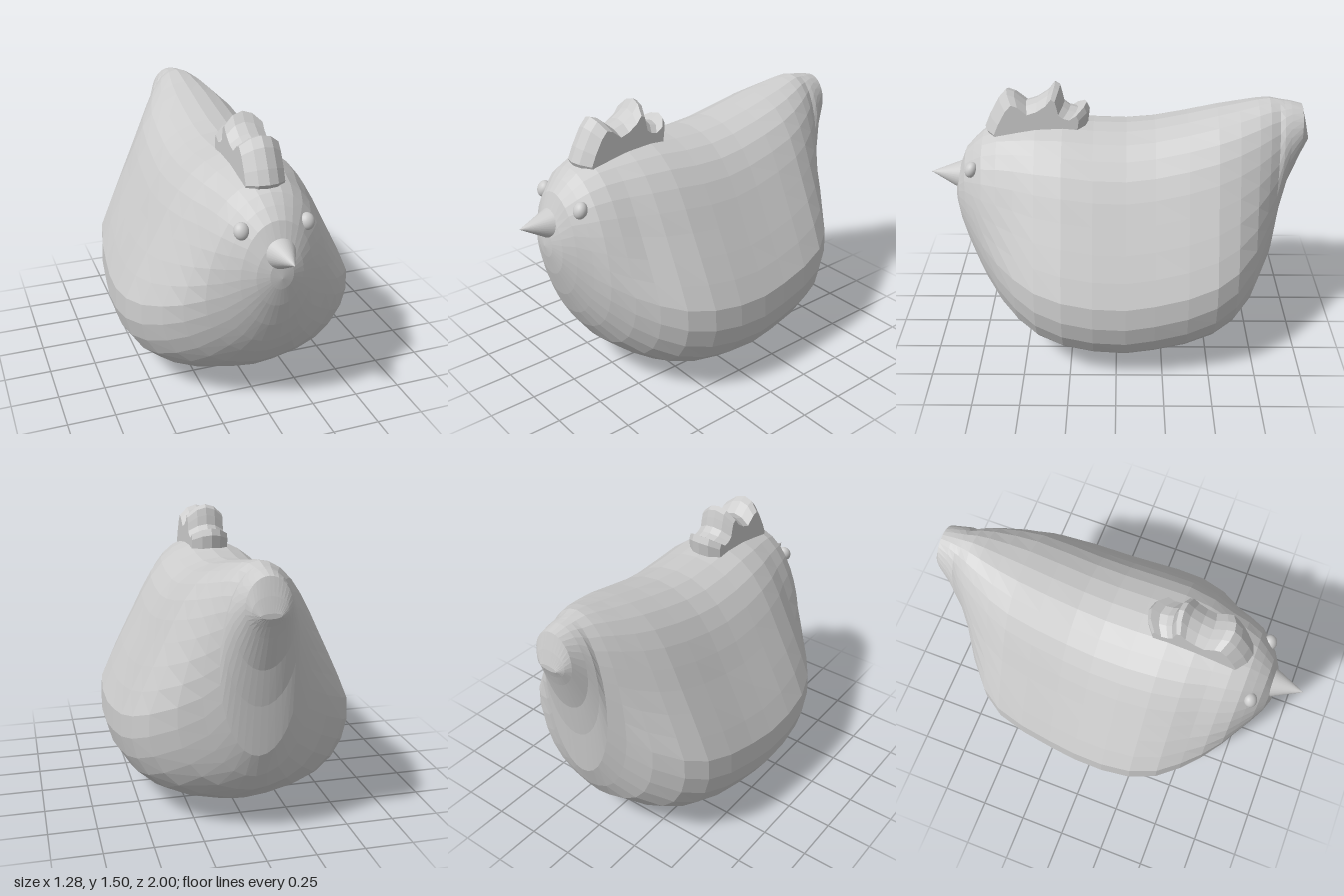
import * as THREE from 'three';

const grey = (flat) => new THREE.MeshStandardMaterial({ color: 0xcccccc, flatShading: flat, roughness: 0.8 });

// Body stations from beak to tail: [z, bottom y, top y, half width]
const STATIONS = [
  [0.87, 0.86, 0.86, 0], [0.862, 0.8, 0.95, 0.06], [0.84, 0.7, 1.03, 0.12], [0.8, 0.57, 1.13, 0.185],
  [0.75, 0.45, 1.185, 0.255], [0.7, 0.36, 1.23, 0.33], [0.62, 0.25, 1.265, 0.42], [0.53, 0.17, 1.28, 0.5],
  [0.42, 0.1, 1.295, 0.58], [0.28, 0.05, 1.3, 0.63], [0.12, 0.02, 1.285, 0.645], [-0.05, 0.005, 1.28, 0.64],
  [-0.2, 0.02, 1.295, 0.625], [-0.37, 0.05, 1.33, 0.605], [-0.52, 0.1, 1.365, 0.57], [-0.63, 0.16, 1.388, 0.5],
  [-0.73, 0.25, 1.41, 0.38], [-0.79, 0.35, 1.418, 0.27], [-0.84, 0.48, 1.41, 0.195], [-0.865, 0.74, 1.405, 0.175],
  [-0.9, 0.93, 1.4, 0.145], [-0.96, 1.1, 1.385, 0.11], [-0.983, 1.16, 1.3, 0.085], [-1, 1.2, 1.225, 0.05], [-1, 1.21, 1.21, 0],
];
// Relative half widths of the pear-shaped section, from belly to back
const PEAR = [0, 0.2, 0.48, 0.7, 0.85, 0.945, 0.99, 0.98, 0.89, 0.79, 0.69, 0.6, 0.51, 0.41, 0.29, 0.15, 0];

function bodyGeometry() {
  const half = PEAR.length - 1, n = half * 2;
  const positions = [], index = [];
  STATIONS.forEach(([z, bottom, top, width], i) => {
    // pear section in the middle, oval towards the face and the tail
    const oval = z > 0 ? THREE.MathUtils.smoothstep(z, 0.5, 0.85) : THREE.MathUtils.smoothstep(-z, 0.68, 0.86);
    for (let j = 0; j < n; j++) {
      const k = j <= half ? j : n - j;
      const angle = (k / half) * Math.PI;
      const w = THREE.MathUtils.lerp(PEAR[k], Math.sin(angle), oval) * width;
      positions.push(j <= half ? w : -w, bottom + (top - bottom) * (1 - Math.cos(angle)) / 2, z);
      if (i < STATIONS.length - 1) {
        const a = i * n + j, b = i * n + (j + 1) % n;
        index.push(a, a + n, b, b, a + n, b + n);
      }
    }
  });
  const geometry = new THREE.BufferGeometry();
  geometry.setAttribute('position', new THREE.Float32BufferAttribute(positions, 3));
  geometry.setIndex(index);
  geometry.computeVertexNormals();
  return geometry;
}

// Comb outline as (z, y), extruded across x in layers that shrink towards both sides
function combGeometry() {
  const outline = [
    [0.16, 1.2], [0.14, 1.36], [0.155, 1.395], [0.2, 1.365], [0.24, 1.375], [0.27, 1.4], [0.28, 1.45], [0.29, 1.49],
    [0.315, 1.505], [0.35, 1.46], [0.41, 1.42], [0.47, 1.4], [0.53, 1.45], [0.57, 1.465], [0.61, 1.42], [0.66, 1.33],
    [0.69, 1.26], [0.66, 1.2],
  ].map(([z, y]) => new THREE.Vector2(z, y));
  const geometry = new THREE.ExtrudeGeometry(new THREE.Shape(outline), { depth: 0.2, steps: 4, bevelEnabled: false })
    .translate(0, 0, -0.1).rotateY(-Math.PI / 2);
  const p = geometry.attributes.position;
  for (let i = 0; i < p.count; i++) {
    const k = (p.getX(i) / 0.1) ** 2;
    p.setY(i, 1.2 + (p.getY(i) - 1.2) * (1 - 0.2 * k));
    p.setZ(i, 0.415 + (p.getZ(i) - 0.415) * (1 - 0.2 * k));
  }
  geometry.computeVertexNormals();
  return geometry;
}

export function createModel() {
  const group = new THREE.Group();
  const add = (name, geometry, flat) => {
    const mesh = new THREE.Mesh(geometry, grey(flat));
    mesh.name = name;
    group.add(mesh);
    return mesh;
  };

  add('body', bodyGeometry(), true);
  add('comb', combGeometry(), true);

  // Beak, its tip lifted slightly
  const beak = add('beak', new THREE.ConeGeometry(0.1, 0.21, 32), false);
  beak.rotation.x = Math.PI / 2 - 0.1;
  beak.position.set(0, 0.98, 0.895);

  // Eyes
  for (const [name, side] of [['leftEye', 1], ['rightEye', -1]]) {
    const eye = add(name, new THREE.SphereGeometry(1, 24, 16), false);
    eye.scale.set(0.038, 0.043, 0.033);
    eye.rotation.x = -0.4;
    eye.position.set(side * 0.165, 1.08, 0.755);
  }
  return group;
}
